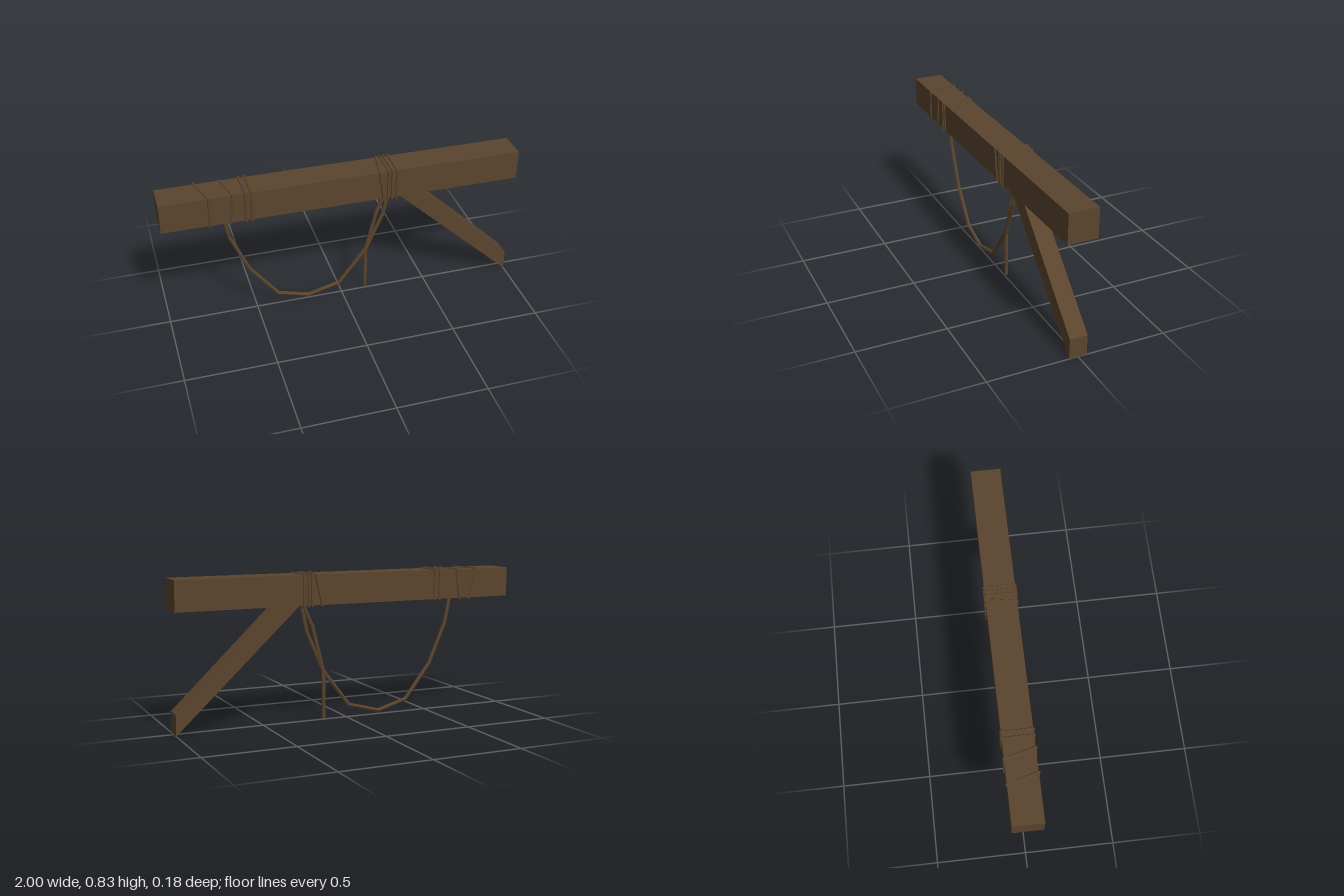
import * as THREE from 'three';

const V = (x, y, z) => new THREE.Vector3(x, y, z);

// Sweeps a six-sided section along a polyline with mitred corners.
// The normal is a direction roughly square to the plane the path bends in.
function sweepRope(points, normal, radius, closed) {
  const n = points.length, sides = 6, pos = [], idx = [];
  points.forEach((p, i) => {
    const prev = closed || i > 0 ? points[(i + n - 1) % n] : null;
    const next = closed || i < n - 1 ? points[(i + 1) % n] : null;
    const a = prev ? p.clone().sub(prev).normalize() : next.clone().sub(p).normalize();
    const b = next ? next.clone().sub(p).normalize() : a.clone();
    const tangent = a.clone().add(b).normalize();
    const side = normal.clone().cross(tangent).normalize();
    const up = tangent.clone().cross(side);
    const mitre = 1 / Math.max(0.5, tangent.dot(a));
    for (let k = 0; k < sides; k++) {
      const t = (k + 0.5) / sides * Math.PI * 2;
      const v = p.clone()
        .addScaledVector(side, Math.cos(t) * radius * mitre)
        .addScaledVector(up, Math.sin(t) * radius);
      pos.push(v.x, v.y, v.z);
    }
  });
  for (let i = 0; i < (closed ? n : n - 1); i++) {
    for (let k = 0; k < sides; k++) {
      const a = i * sides + k, b = i * sides + (k + 1) % sides;
      const c = ((i + 1) % n) * sides + k, d = ((i + 1) % n) * sides + (k + 1) % sides;
      idx.push(a, b, d, a, d, c);
    }
  }
  if (!closed) {
    const e = (n - 1) * sides;
    for (let k = 1; k < sides - 1; k++) idx.push(0, k + 1, k, e, e + k, e + k + 1);
  }
  const g = new THREE.BufferGeometry();
  g.setAttribute('position', new THREE.Float32BufferAttribute(pos, 3));
  g.setIndex(idx);
  const flat = g.toNonIndexed();
  flat.computeVertexNormals();
  return flat;
}

export function createModel() {
  const group = new THREE.Group();
  const wood = new THREE.MeshStandardMaterial({ color: 0x5a442d });
  wood.name = 'dark brown';
  const add = (name, geometry) => {
    const mesh = new THREE.Mesh(geometry, wood);
    mesh.name = name;
    group.add(mesh);
    return mesh;
  };

  // Horizontal beam
  add('beam', new THREE.BoxGeometry(2, 0.166, 0.166)).position.y = 0.738;

  // Diagonal brace, cut upright at its outer end
  const outline = new THREE.Shape([
    [1, 0], [1, 0.115], [0.435, 0.655], [0.39, 0.7], [0.25, 0.7],
  ].map(([x, y]) => new THREE.Vector2(x, y)));
  const brace = new THREE.ExtrudeGeometry(outline, { depth: 0.1, bevelEnabled: false });
  brace.translate(0, 0, -0.05);
  add('brace', brace);

  // Rope turns round the beam: x at front bottom, front top, back top, back bottom
  const wraps = [
    [-0.74, -0.74, -0.79, -0.74],
    [-0.635, -0.612, -0.655, -0.68],
    [-0.548, -0.548, -0.548, -0.548],
    [-0.515, -0.515, -0.515, -0.515],
    [0.215, 0.19, 0.22, 0.18],
    [0.24, 0.24, 0.24, 0.24],
    [0.262, 0.262, 0.262, 0.262],
    [0.288, 0.288, 0.288, 0.288],
  ];
  const low = 0.653, high = 0.822, half = 0.084;
  wraps.forEach(([fb, ft, bt, bb]) => add('ropeWrap', sweepRope(
    [V(fb, low, half), V(ft, high, half), V(bt, high, -half), V(bb, low, -half)],
    V(1, 0, 0), 0.007, true)));

  // Slack rope hanging between the two lashings
  const slack = [
    [-0.665, 0.67], [-0.63, 0.5], [-0.53, 0.27], [-0.375, 0.07], [-0.2, 0.02],
    [-0.015, 0.07], [0.145, 0.28], [0.24, 0.5], [0.275, 0.67],
  ].map(([x, y]) => V(x, y, 0));
  add('hangingRope', sweepRope(slack, V(0, 0, 1), 0.011, false));

  // Loose rope end
  const tail = [[0.27, 0.67], [0.207, 0.525], [0.143, 0.27], [0.143, 0.01]]
    .map(([x, y]) => V(x, y, -0.005));
  add('ropeTail', sweepRope(tail, V(0, 0, 1), 0.011, false));

  return group;
}
